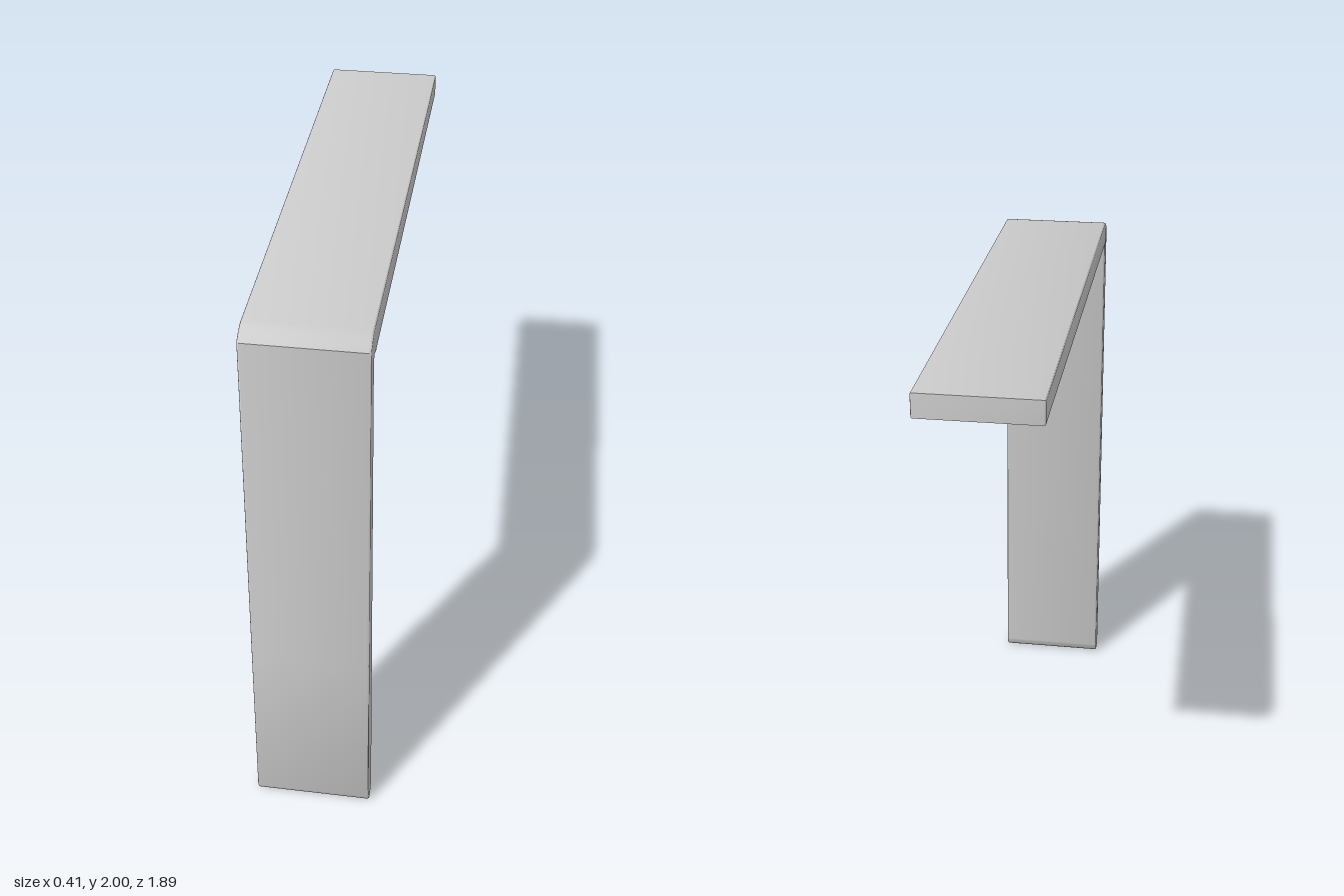
import * as THREE from 'three';
import { toCreasedNormals } from 'three/addons/utils/BufferGeometryUtils.js';

const HALF_WIDTH = 0.2;
const BEVEL = 0.006;

export function createModel() {
  const group = new THREE.Group();
  group.name = 'angleBracket';

  // Side profile of the bent strip, drawn as (z, y)
  const profile = new THREE.Shape();
  profile.moveTo(-0.945, 1.92);
  profile.lineTo(0.845, 1.92);
  profile.quadraticCurveTo(0.868, 1.915, 0.872, 1.88); // inner bend
  profile.lineTo(0.868, 0.04);
  profile.quadraticCurveTo(0.872, 0.012, 0.892, 0); // rounded foot
  profile.lineTo(0.928, 0);
  profile.quadraticCurveTo(0.943, 0.015, 0.948, 0.04);
  profile.lineTo(0.945, 0.7);
  profile.lineTo(0.938, 1.965);
  profile.quadraticCurveTo(0.915, 1.99, 0.87, 2); // outer bend
  profile.lineTo(-0.945, 2);
  profile.closePath();

  // Sweep the profile across the width with a fine edge bevel
  const depth = 2 * (HALF_WIDTH - BEVEL);
  const strip = new THREE.ExtrudeGeometry(profile, {
    depth, curveSegments: 5, bevelEnabled: true, bevelSegments: 2,
    bevelSize: BEVEL, bevelThickness: BEVEL, bevelOffset: -BEVEL,
  });
  strip.translate(0, 0, -depth / 2);
  strip.rotateY(-Math.PI / 2);

  // The leg widens slightly toward its foot
  const pos = strip.attributes.position;
  for (let i = 0; i < pos.count; i++) {
    if (pos.getZ(i) < 0.86) continue;
    const t = THREE.MathUtils.clamp(pos.getY(i) / 2, 0, 1);
    pos.setX(i, pos.getX(i) * THREE.MathUtils.lerp(1.02, 0.98, t));
  }

  const mesh = new THREE.Mesh(
    toCreasedNormals(strip, 0.8),
    new THREE.MeshStandardMaterial({ color: 0xcccccc })
  );
  mesh.name = 'bentPlate';
  group.add(mesh);
  return group;
}
